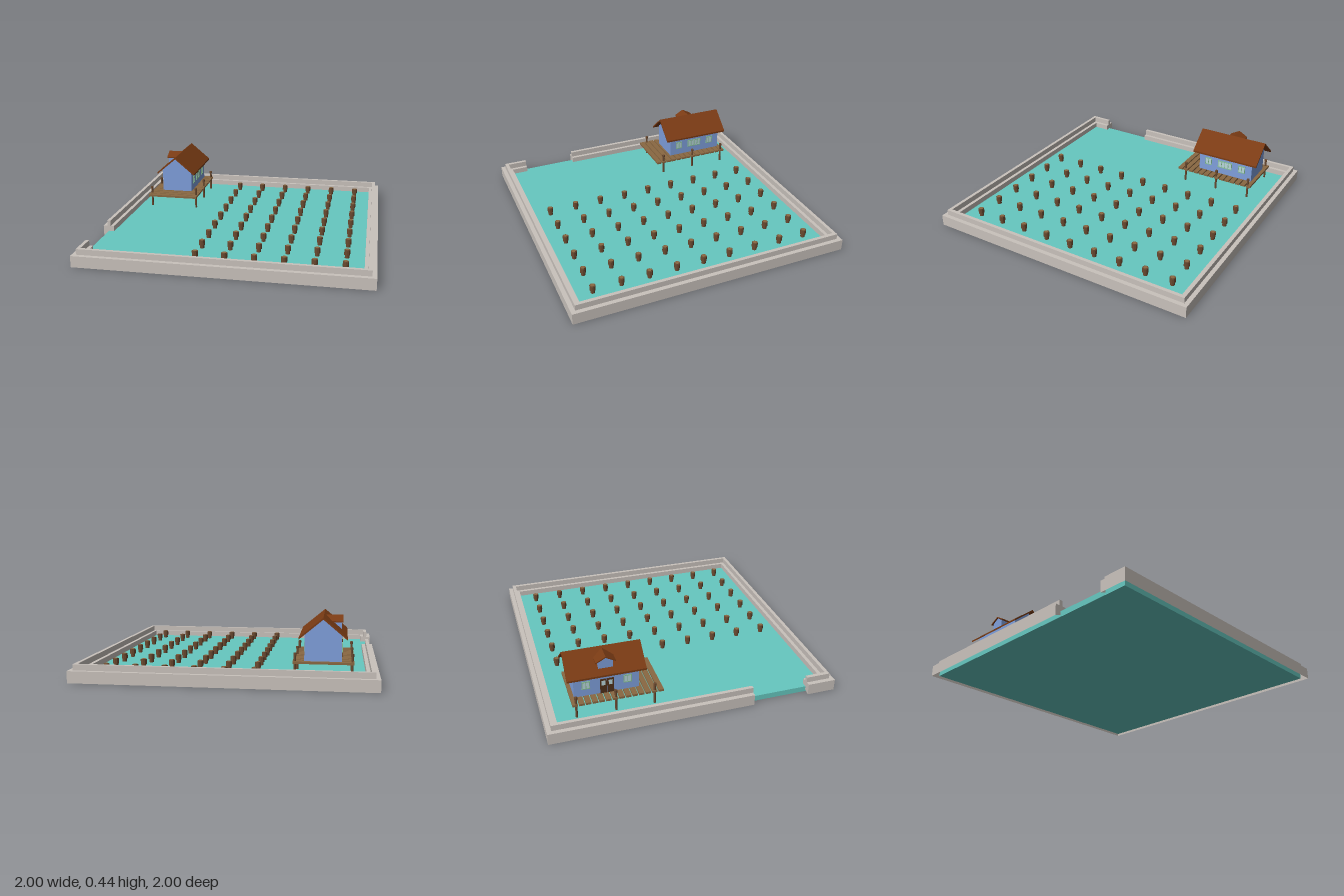
import * as THREE from 'three';

const mat = (color) => new THREE.MeshStandardMaterial({ color, flatShading: true, side: THREE.DoubleSide });
const stone = mat(0xc9c2bc), water = mat(0x66c8c0), wood = mat(0x8a6842), bark = mat(0x6b4a30);
const blue = mat(0x7f9fdc), roofing = mat(0x7a3b14), glass = mat(0xb9d6dc), green = mat(0x86bf98), doorWood = mat(0x4f2f1a);

function add(parent, name, geometry, material, x = 0, y = 0, z = 0) {
  const mesh = new THREE.Mesh(geometry, material);
  mesh.name = name;
  mesh.position.set(x, y, z);
  parent.add(mesh);
  return mesh;
}

function group(parent, name, x = 0, y = 0, z = 0) {
  const g = new THREE.Group();
  g.name = name;
  g.position.set(x, y, z);
  parent.add(g);
  return g;
}

const box = (w, h, d) => new THREE.BoxGeometry(w, h, d);
const shapeOf = (pts) => new THREE.Shape(pts.map(([x, y]) => new THREE.Vector2(x, y)));
const prism = (pts, depth) => new THREE.ExtrudeGeometry(shapeOf(pts), { depth, bevelEnabled: false });

// Gabled block and folded roof, both running along +z
const gable = (half, base, eave, apex, depth) =>
  prism([[-half, base], [half, base], [half, eave], [0, apex], [-half, eave]], depth);
const foldedRoof = (half, eave, apex, t, depth) =>
  prism([[-half, eave - t], [0, apex - t], [half, eave - t], [half, eave], [0, apex], [-half, eave]], depth);

// Stepped wall: a profile of [inset, height] swept round the basin, open below
function basinWall(parent) {
  const g = group(parent, 'basinWall');
  const profile = [[0, 0], [0, 0.08], [0.03, 0.08], [0.03, 0.12], [0.055, 0.12], [0.055, 0.08], [0.08, 0.08], [0.08, 0.03]];
  // Each corner: x, z, and the inward direction
  const path = [[-1, 0.4, 1, 0], [-1, -1, 1, 1], [1, -1, -1, 1], [1, 1, -1, -1], [-1, 1, 1, -1], [-1, 0.8, 1, 0]];
  const at = (i, j) => {
    const [x, z, ix, iz] = path[i], [inset, y] = profile[j];
    return [x + ix * inset, y, z + iz * inset];
  };
  const pos = [];
  for (let i = 0; i < path.length - 1; i++) {
    for (let j = 0; j < profile.length - 1; j++) {
      const a = at(i, j), b = at(i + 1, j), c = at(i + 1, j + 1), d = at(i, j + 1);
      pos.push(...a, ...d, ...c, ...a, ...c, ...b);
    }
  }
  const geo = new THREE.BufferGeometry();
  geo.setAttribute('position', new THREE.Float32BufferAttribute(pos, 3));
  geo.computeVertexNormals();
  add(g, 'steppedWall', geo, stone);
  // Wall ends on both sides of the opening
  for (const z of [0.4, 0.8]) {
    const end = add(g, 'wallEnd', new THREE.ShapeGeometry(shapeOf(profile)), stone, -1, 0, z);
    if (z === 0.8) {
      end.rotation.y = Math.PI;
      end.scale.x = -1;
    }
  }
}

// Grid of short mooring piles
function piles(parent) {
  const g = group(parent, 'piles');
  const shaft = new THREE.CylinderGeometry(0.016, 0.016, 0.065, 10);
  const collar = new THREE.CylinderGeometry(0.021, 0.021, 0.035, 10);
  const top = new THREE.CylinderGeometry(0.015, 0.015, 0.004, 10);
  for (let i = 0; i < 6; i++) {
    for (let j = 0; j < 9; j++) {
      const p = group(g, 'pile', -0.2 + i * 0.2, 0, -0.8 + j * 0.2);
      add(p, 'pileShaft', shaft, bark, 0, 0.0675);
      add(p, 'pileCollar', collar, bark, 0, 0.08);
      add(p, 'pileTop', top, wood, 0, 0.099);
    }
  }
}

// Plank deck on six posts
function deck(parent) {
  const g = group(parent, 'deck');
  for (let i = 0; i < 14; i++) add(g, 'plank', box(0.395, 0.015, 0.036), wood, -0.6425, 0.138, -0.208 - i * 0.0446);
  for (const x of [-0.828, -0.46]) {
    for (const z of [-0.25, -0.515, -0.78]) {
      const p = group(g, 'deckPost', x, 0, z);
      add(p, 'postShaft', new THREE.CylinderGeometry(0.008, 0.008, 0.16, 10), bark, 0, 0.12);
      add(p, 'postCap', new THREE.CylinderGeometry(0.011, 0.011, 0.015, 10), bark, 0, 0.19);
    }
  }
}

// Framed window facing +x or -x, split into panes
function windowAt(parent, side, z, width, panes) {
  const g = group(parent, 'window', -0.64 + side * 0.121, 0.228, z);
  add(g, 'windowGlass', box(0.004, 0.052, width), glass);
  for (const s of [-1, 1]) add(g, 'windowRail', box(0.01, 0.006, width + 0.006), green, 0, s * 0.026, 0);
  for (let i = 0; i <= panes; i++) add(g, 'windowBar', box(0.008, 0.052, 0.005), green, 0, 0, width * (i / panes - 0.5));
}

function house(parent) {
  const g = group(parent, 'house');
  add(g, 'houseWalls', gable(0.12, 0.145, 0.322, 0.422, 0.44), blue, -0.64, 0, -0.78);
  add(g, 'roof', foldedRoof(0.155, 0.305, 0.435, 0.013, 0.53), roofing, -0.64, 0, -0.825);

  // Dormer on the right-hand slope
  const d = group(g, 'dormer', -0.765, 0, -0.56);
  d.rotation.y = Math.PI / 2;
  add(d, 'dormerWalls', gable(0.05, 0.31, 0.386, 0.417, 0.09), blue, 0, 0, 0.008);
  add(d, 'dormerRoof', foldedRoof(0.067, 0.389, 0.426, 0.009, 0.115), roofing);

  for (const side of [-1, 1]) {
    windowAt(g, side, -0.417, 0.05, 2);
    windowAt(g, side, -0.698, 0.05, 2);
  }
  windowAt(g, 1, -0.557, 0.112, 4);

  // Double door on the right-hand wall
  const door = group(g, 'door', -0.761, 0.2, -0.557);
  for (const s of [-1, 1]) {
    add(door, 'doorLeaf', box(0.008, 0.11, 0.045), doorWood, 0, 0, s * 0.024);
    add(door, 'doorPane', box(0.012, 0.035, 0.025), glass, 0, 0.025, s * 0.024);
  }
}

export function createModel() {
  const model = new THREE.Group();
  model.name = 'harbourBasin';
  add(model, 'water', box(1.92, 0.04, 1.92), water, 0, 0.02, 0);
  basinWall(model);
  piles(model);
  deck(model);
  house(model);
  return model;
}
